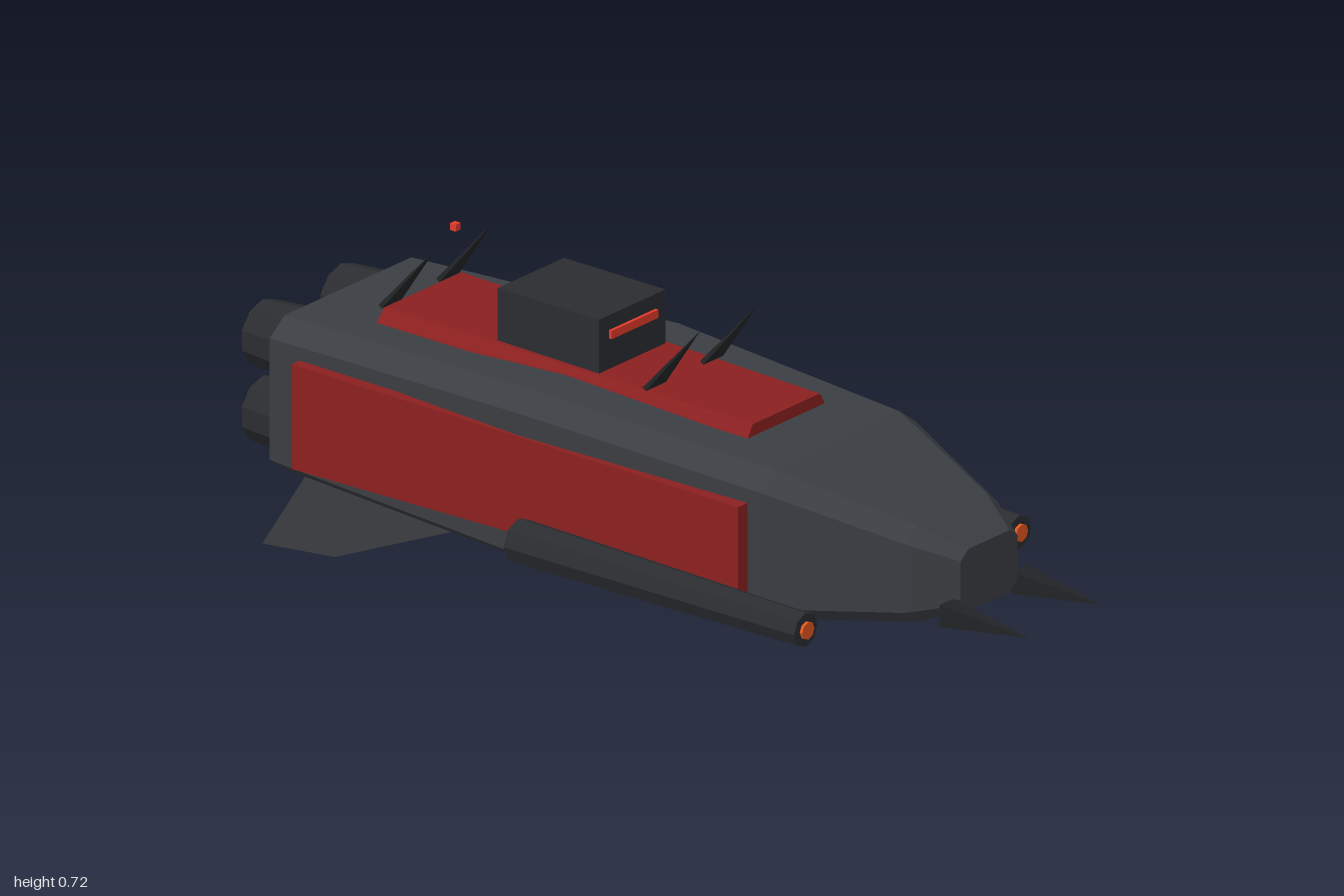
import * as THREE from 'three';

const paint = (color) => new THREE.MeshStandardMaterial({ color, flatShading: true });

// Closed solid through matching rings of [x, y], ordered front to back, counter-clockwise seen from +z
function loft(sections) {
  const pos = [];
  const rings = sections.map(({ z, ring }) => ring.map(([x, y]) => [x, y, z]));
  const tri = (a, b, c) => pos.push(...a, ...b, ...c);
  const n = rings[0].length;
  for (let s = 0; s < rings.length - 1; s++) {
    const f = rings[s], b = rings[s + 1];
    for (let i = 0; i < n; i++) {
      const j = (i + 1) % n;
      tri(f[i], b[i], b[j]);
      tri(f[i], b[j], f[j]);
    }
  }
  const front = rings[0], back = rings[rings.length - 1];
  for (let i = 1; i < n - 1; i++) {
    tri(front[0], front[i], front[i + 1]);
    tri(back[0], back[i + 1], back[i]);
  }
  const g = new THREE.BufferGeometry();
  g.setAttribute('position', new THREE.Float32BufferAttribute(pos, 3));
  g.computeVertexNormals();
  return g;
}

// Rectangle with cut corners
const octagon = (w, y0, y1, cx, cy) => [
  [w, y0 + cy], [w, y1 - cy], [w - cx, y1], [cx - w, y1],
  [-w, y1 - cy], [-w, y0 + cy], [cx - w, y0], [w - cx, y0],
];
const rect = (x0, x1, y0, y1) => [[x0, y0], [x1, y0], [x1, y1], [x0, y1]];
const trapezoid = (bottom, top, y0, y1) => [[-bottom, y0], [bottom, y0], [top, y1], [-top, y1]];

export function createModel() {
  const ship = new THREE.Group();
  ship.name = 'spaceship';
  const hullMat = paint(0x3a3d42), darkMat = paint(0x2a2c30), spikeMat = paint(0x222326);
  const redMat = paint(0x8b2020), orangeMat = paint(0xe0561f), lightMat = paint(0xe03a2a);

  const add = (name, geometry, material, x = 0, y = 0, z = 0) => {
    const mesh = new THREE.Mesh(geometry, material);
    mesh.name = name;
    mesh.position.set(x, y, z);
    ship.add(mesh);
    return mesh;
  };

  // Hull
  add('hull', loft([
    { z: 0.8, ring: octagon(0.09, 0.265, 0.4, 0.025, 0.02) },
    { z: 0.7, ring: octagon(0.147, 0.23, 0.44, 0.035, 0.03) },
    { z: 0.4, ring: octagon(0.248, 0.187, 0.512, 0.048, 0.035) },
    { z: -0.2, ring: octagon(0.28, 0.16, 0.537, 0.05, 0.035) },
    { z: -0.875, ring: octagon(0.248, 0.18, 0.515, 0.048, 0.035) },
  ]), hullMat);

  // Deck plate, bridge and its window, beacon
  add('deckPlate', loft([
    { z: 0.27, ring: trapezoid(0.122, 0.106, 0.52, 0.546) },
    { z: -0.68, ring: trapezoid(0.146, 0.122, 0.532, 0.558) },
  ]), redMat);
  add('bridge', new THREE.BoxGeometry(0.21, 0.128, 0.265), darkMat, 0, 0.604, -0.265);
  add('bridgeWindow', new THREE.BoxGeometry(0.148, 0.018, 0.014), lightMat, 0, 0.627, -0.132);
  add('beacon', new THREE.BoxGeometry(0.015, 0.015, 0.015), lightMat, 0, 0.718, -0.595);

  // Square spike with its base at the origin, pointing along +y
  const spike = (radius, length, thickness = 1) => new THREE.ConeGeometry(radius, length, 4)
    .rotateY(Math.PI / 4).translate(0, length / 2, 0).scale(1, 1, thickness);
  const deckSpike = spike(0.045, 0.193, 0.16).rotateX(Math.atan2(0.12, 0.148));
  const noseSpike = spike(0.034, 0.215).rotateX(Math.PI / 2);

  const barrel = new THREE.CylinderGeometry(0.037, 0.048, 0.75, 8).rotateX(Math.PI / 2);
  const muzzle = new THREE.CylinderGeometry(0.019, 0.019, 0.02, 8).rotateX(Math.PI / 2);
  const nozzle = new THREE.CylinderGeometry(0.07, 0.082, 0.15, 10).rotateX(-Math.PI / 2);
  const glow = new THREE.CylinderGeometry(0.063, 0.063, 0.02, 10).rotateX(Math.PI / 2);

  // Fin outline, drawn in (-z, y) and given its thickness along x
  const finShape = new THREE.Shape([
    [0.4, 0.19], [0.42, 0.165], [0.745, 0.022], [0.935, 0.002], [0.815, 0.19],
  ].map(([u, v]) => new THREE.Vector2(u, v)));
  const fin = new THREE.ExtrudeGeometry(finShape, { depth: 0.033, bevelEnabled: false })
    .translate(0, 0, -0.0165).rotateY(Math.PI / 2);

  // Everything that comes in left and right pairs
  for (const [label, side] of [['left', 1], ['right', -1]]) {
    const slab = (inner, outer, y0, y1) =>
      side > 0 ? rect(inner, outer, y0, y1) : rect(-outer, -inner, y0, y1);
    add(`${label}SidePanel`, loft([
      { z: 0.375, ring: slab(0.247, 0.28, 0.25, 0.447) },
      { z: -0.78, ring: slab(0.268, 0.293, 0.234, 0.462) },
    ]), redMat);

    add(`${label}GunBarrel`, barrel, darkMat, side * 0.338, 0.257, 0.225);
    add(`${label}GunMuzzle`, muzzle, orangeMat, side * 0.338, 0.257, 0.597);
    add(`${label}NoseSpike`, noseSpike, spikeMat, side * 0.115, 0.273, 0.785);
    add(`${label}Fin`, fin, hullMat, side * 0.182, 0, 0);

    for (const [place, z] of [['Front', 0], ['Rear', -0.69]])
      add(`${label}${place}DeckSpike`, deckSpike, spikeMat, side * 0.091, 0.557, z);

    for (const [row, y] of [['Upper', 0.425], ['Lower', 0.259]]) {
      add(`${label}${row}Engine`, nozzle, darkMat, side * 0.124, y, -0.92);
      add(`${label}${row}EngineGlow`, glow, orangeMat, side * 0.124, y, -0.99);
    }
  }
  return ship;
}
